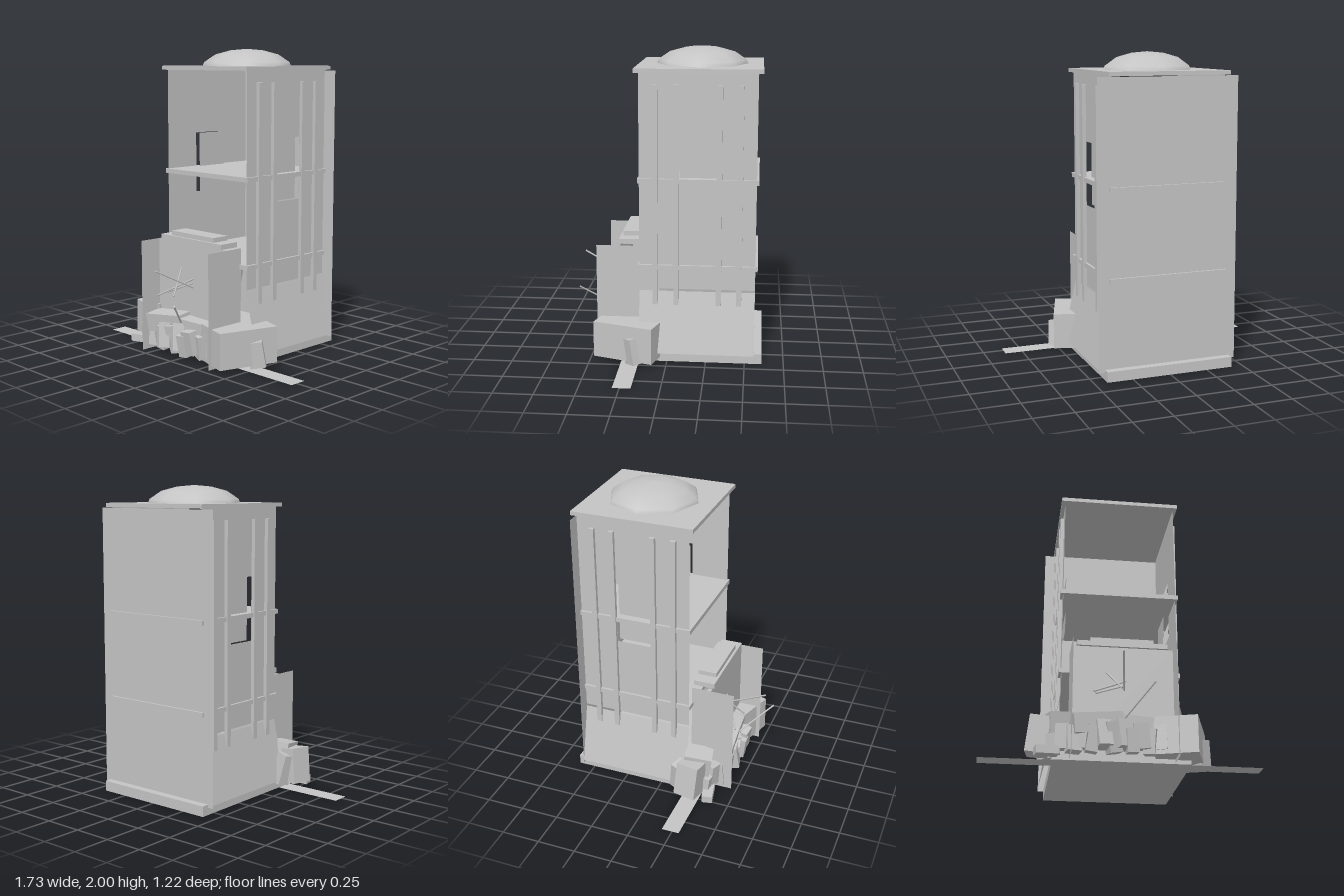
import * as THREE from 'three';

export function createModel() {
  const root = new THREE.Group();
  root.name = 'ruinedTower';
  const stone = new THREE.MeshStandardMaterial({ color: 0xc4c4c4, side: THREE.DoubleSide });
  stone.name = 'stone grey';

  const add = (name, geo) => {
    const mesh = new THREE.Mesh(geo, stone);
    mesh.name = name;
    root.add(mesh);
    return mesh;
  };
  // Box given by its limits on each axis
  const block = (name, x0, x1, y0, y1, z0, z1) => {
    const m = add(name, new THREE.BoxGeometry(x1 - x0, y1 - y0, z1 - z0));
    m.position.set((x0 + x1) / 2, (y0 + y1) / 2, (z0 + z1) / 2);
  };
  // Thin upright sheet facing front or back
  const frontSheet = (name, w, y0, y1, z) => {
    const m = add(name, new THREE.PlaneGeometry(w, y1 - y0));
    m.position.set(0, (y0 + y1) / 2, z);
    return m;
  };
  // Thin upright sheet facing sideways
  const sideSheet = (name, x, y0, y1, z0, z1) => {
    const m = add(name, new THREE.PlaneGeometry(z1 - z0, y1 - y0));
    m.position.set(x, (y0 + y1) / 2, (z0 + z1) / 2);
    m.rotation.y = Math.sign(x) * Math.PI / 2;
    return m;
  };
  // Straight bar between two points
  const bar = (name, a, b, r) => {
    const p = new THREE.Vector3(...a), q = new THREE.Vector3(...b);
    const m = add(name, new THREE.CylinderGeometry(r, r, p.distanceTo(q), 5));
    m.position.copy(p).lerp(q, 0.5);
    m.quaternion.setFromUnitVectors(new THREE.Vector3(0, 1, 0), q.sub(p).normalize());
  };
  // Tilted block of rubble
  const chunk = (position, size, rotation) => {
    const m = add('rubbleBlock', new THREE.BoxGeometry(...size));
    m.position.set(...position);
    m.rotation.set(...rotation);
  };

  // Foundation, floors and roof
  block('foundation', -0.42, 0.42, 0.004, 0.07, -0.61, 0.3);
  for (const y of [0.61, 1.17]) block('floor', -0.387, 0.387, y, y + 0.03, -0.575, 0.19);
  block('roof', -0.395, 0.395, 1.862, 1.888, -0.59, 0.21);
  const dome = add('roofDome', new THREE.LatheGeometry(
    [[0.295, 1.886], [0.285, 1.912], [0.21, 1.963], [0.11, 1.99], [0, 2]]
      .map(([x, y]) => new THREE.Vector2(x, y)), 8));
  dome.position.z = -0.195;
  frontSheet('backWall', 0.92, 0.05, 1.857, -0.56);

  // Side wall outline in z and y, with a window opening
  const rect = (path, z0, z1, y0, y1) =>
    path.moveTo(z0, y0).lineTo(z1, y0).lineTo(z1, y1).lineTo(z0, y1).closePath();
  const wall = new THREE.Shape(), opening = new THREE.Path();
  rect(wall, -0.56, 0.18, 0.48, 1.865);
  rect(opening, -0.31, -0.075, 1.02, 1.43);
  wall.holes.push(opening);

  for (const s of [-1, 1]) {
    const side = add('sideWall', new THREE.ShapeGeometry(wall));
    side.rotation.y = -Math.PI / 2;
    side.position.x = s * 0.37;

    // Window pane set back behind the opening
    sideSheet('windowPane', s * 0.335, 1.02, 1.43, -0.31, -0.075);

    // Skirt sloping outwards below the wall
    const skirt = sideSheet('wallSkirt', s * 0.415, 0.065, 0.47, -0.56, 0.18);
    skirt.rotation.order = 'YXZ';
    skirt.rotation.x = -Math.atan2(0.09, 0.395);

    // Vertical ribs
    for (const z of [0.078, -0.057, -0.327, -0.457])
      block('wallRib', s * 0.383 - 0.012, s * 0.383 + 0.012, 0.38, 1.79, z - 0.017, z + 0.017);

    sideSheet('porchSide', s * 0.32, 0.004, 0.745, 0.18, 0.465);

    // Pavement strip lying on the ground
    const strip = add('pavementStrip', new THREE.PlaneGeometry(0.565, 0.115));
    strip.rotation.x = -Math.PI / 2;
    strip.position.set(s * 0.5825, 0.002, 0.2375);
  }

  // Porch front and stepped top
  frontSheet('porchFront', 0.64, 0.004, 0.745, 0.31);
  block('porchSlab', -0.285, 0.285, 0.747, 0.78, 0.18, 0.322);
  block('porchCap', -0.2, 0.2, 0.78, 0.81, 0.18, 0.305);

  // Large rubble at both corners and in the middle
  chunk([0.365, 0.147, 0.24], [0.27, 0.235, 0.405], [0, -0.31, 0]);
  chunk([0.49, 0.1, 0.21], [0.1, 0.17, 0.09], [0.1, 0.7, 0.1]);
  chunk([-0.5, 0.165, 0.235], [0.13, 0.23, 0.15], [0.05, -0.15, -0.12]);
  chunk([-0.39, 0.235, 0.25], [0.14, 0.14, 0.18], [0.15, 0.25, 0.05]);
  chunk([-0.47, 0.15, 0.15], [0.09, 0.2, 0.08], [0.2, -0.3, 0.2]);
  chunk([-0.46, 0.04, 0.35], [0.14, 0.05, 0.07], [0, 0.2, 0.05]);
  chunk([-0.16, 0.215, 0.36], [0.3, 0.12, 0.13], [0.1, 0.1, 0.1]);
  chunk([0.1, 0.225, 0.34], [0.26, 0.08, 0.12], [0.05, 0.1, -0.04]);

  // Smaller rubble along the front
  let seed = 11;
  const spread = (a) => {
    seed = (seed * 16807) % 2147483647;
    return (seed / 2147483647 * 2 - 1) * a;
  };
  for (let i = 0; i < 12; i++) {
    const x = -0.42 + i * 0.058;
    const h = 0.155 + spread(0.035);
    chunk([x, h / 2 + 0.03 + (i % 2) * 0.025, 0.395 - 0.4 * x * x + spread(0.015)],
      [0.095 + spread(0.025), h, 0.08 + spread(0.015)],
      [spread(0.15), spread(0.5), spread(0.18)]);
  }

  // Bent-out reinforcing bars
  bar('rebar', [-0.03, 0.605, 0.595], [0.01, 0.46, 0.31], 0.006);
  bar('rebar', [0.16, 0.41, 0.605], [-0.02, 0.22, 0.38], 0.006);
  bar('rebar', [-0.19, 0.395, 0.44], [0.02, 0.52, 0.31], 0.006);
  bar('rebar', [-0.1, 0.575, 0.31], [-0.02, 0.42, 0.45], 0.006);
  bar('rebar', [-0.17, 0.41, 0.37], [0.01, 0.49, 0.31], 0.006);

  return root;
}
